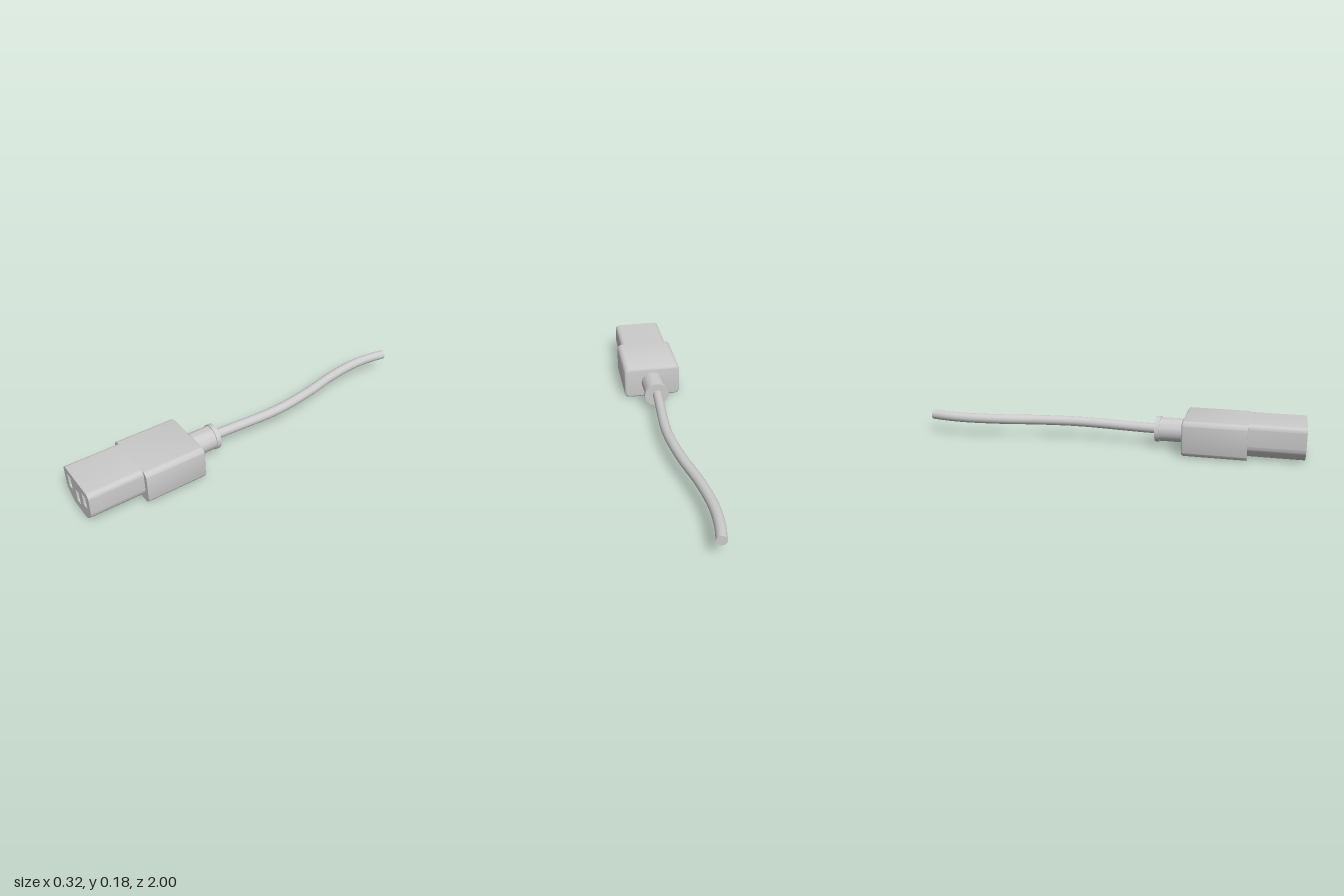
import * as THREE from 'three';
import { toCreasedNormals } from 'three/addons/utils/BufferGeometryUtils.js';

const material = new THREE.MeshStandardMaterial({ color: 0xcccccc });

function part(name, geometry) {
  const mesh = new THREE.Mesh(geometry, material);
  mesh.name = name;
  return mesh;
}

// Closed outline from [x, y, cornerRadius] corners; each corner is cut back by its radius and rounded.
function roundedOutline(corners) {
  const shape = new THREE.Shape();
  const n = corners.length;
  corners.forEach(([x, y, r], i) => {
    const p = new THREE.Vector2(x, y);
    const toward = (c) => new THREE.Vector2(c[0], c[1]).sub(p).normalize();
    const a = toward(corners[(i + n - 1) % n]);
    const b = toward(corners[(i + 1) % n]);
    const at = (dir, d) => p.clone().addScaledVector(dir, d);
    const start = at(a, r), c1 = at(a, r * 0.45), c2 = at(b, r * 0.45), end = at(b, r);
    if (i === 0) shape.moveTo(start.x, start.y);
    else shape.lineTo(start.x, start.y);
    shape.bezierCurveTo(c1.x, c1.y, c2.x, c2.y, end.x, end.y);
  });
  shape.closePath();
  return shape;
}

// Rectangular contact slot, wound opposite to the outline
function slot(x, y, w, h) {
  const path = new THREE.Path();
  path.moveTo(x - w / 2, y - h / 2);
  path.lineTo(x - w / 2, y + h / 2);
  path.lineTo(x + w / 2, y + h / 2);
  path.lineTo(x + w / 2, y - h / 2);
  path.closePath();
  return path;
}

export function createModel() {
  const model = new THREE.Group();
  model.name = 'powerCableConnector';
  const top = 0.183, step = 0.72, axisY = 0.092;

  // Plug nose: keyed outline with three slots, whose floor is the front of the body
  const noseShape = roundedOutline([
    [-0.073, 0, 0.02], [0.073, 0, 0.02], [0.135, 0.054, 0.02],
    [0.135, top, 0.025], [-0.135, top, 0.025], [-0.135, 0.054, 0.02],
  ]);
  for (const [x, y] of [[-0.079, 0.115], [0, 0.08], [0.079, 0.115]]) {
    noseShape.holes.push(slot(x, y, 0.038, 0.07));
  }
  const nose = new THREE.ExtrudeGeometry(noseShape, {
    depth: 1 - step, bevelEnabled: false, curveSegments: 8,
  });
  nose.translate(0, 0, step);
  model.add(part('plugNose', toCreasedNormals(nose, 0.5)));

  // Grip body: rounded at the cable end, front bevel flattened into a sharp step
  const bevel = 0.012, back = 0.395, depth = step - back - bevel;
  const bodyShape = roundedOutline([
    [-0.16, 0, 0.03], [0.16, 0, 0.03], [0.16, top, 0.03], [-0.16, top, 0.03],
  ]);
  const body = new THREE.ExtrudeGeometry(bodyShape, {
    depth, bevelThickness: bevel, bevelSize: bevel, bevelOffset: -bevel,
    bevelSegments: 4, curveSegments: 8,
  });
  const pos = body.attributes.position;
  for (let i = 0; i < pos.count; i++) pos.setZ(i, Math.min(pos.getZ(i), depth));
  body.translate(0, 0, back + bevel);
  model.add(part('gripBody', toCreasedNormals(body, 0.6)));

  // Strain relief sleeve with an end collar
  const sleeveProfile = [
    [0, 0.243], [0.067, 0.243], [0.067, 0.267], [0.062, 0.267], [0.062, 0.41],
  ].map(([r, z]) => new THREE.Vector2(r, z));
  const sleeve = new THREE.LatheGeometry(sleeveProfile, 40);
  sleeve.rotateX(Math.PI / 2);
  sleeve.translate(0, axisY, 0);
  model.add(part('strainRelief', toCreasedNormals(sleeve, 0.6)));

  // Gently winding cable
  const cableRadius = 0.026;
  const path = new THREE.CatmullRomCurve3([
    [-0.004, 0.094, 0.26], [0.003, 0.094, 0.12], [0.011, 0.095, 0],
    [0.015, 0.096, -0.1], [0.01, 0.098, -0.22], [-0.016, 0.1, -0.4],
    [-0.058, 0.102, -0.6], [-0.078, 0.103, -0.78], [-0.073, 0.103, -0.9], [-0.057, 0.103, -0.995],
  ].map((p) => new THREE.Vector3(...p)));
  model.add(part('cable', new THREE.TubeGeometry(path, 72, cableRadius, 24)));

  // Cut end of the cable
  const cableEnd = part('cableEnd', new THREE.CircleGeometry(cableRadius, 24));
  cableEnd.position.copy(path.getPoint(1));
  cableEnd.lookAt(path.getPoint(1).add(path.getTangent(1)));
  model.add(cableEnd);

  return model;
}
